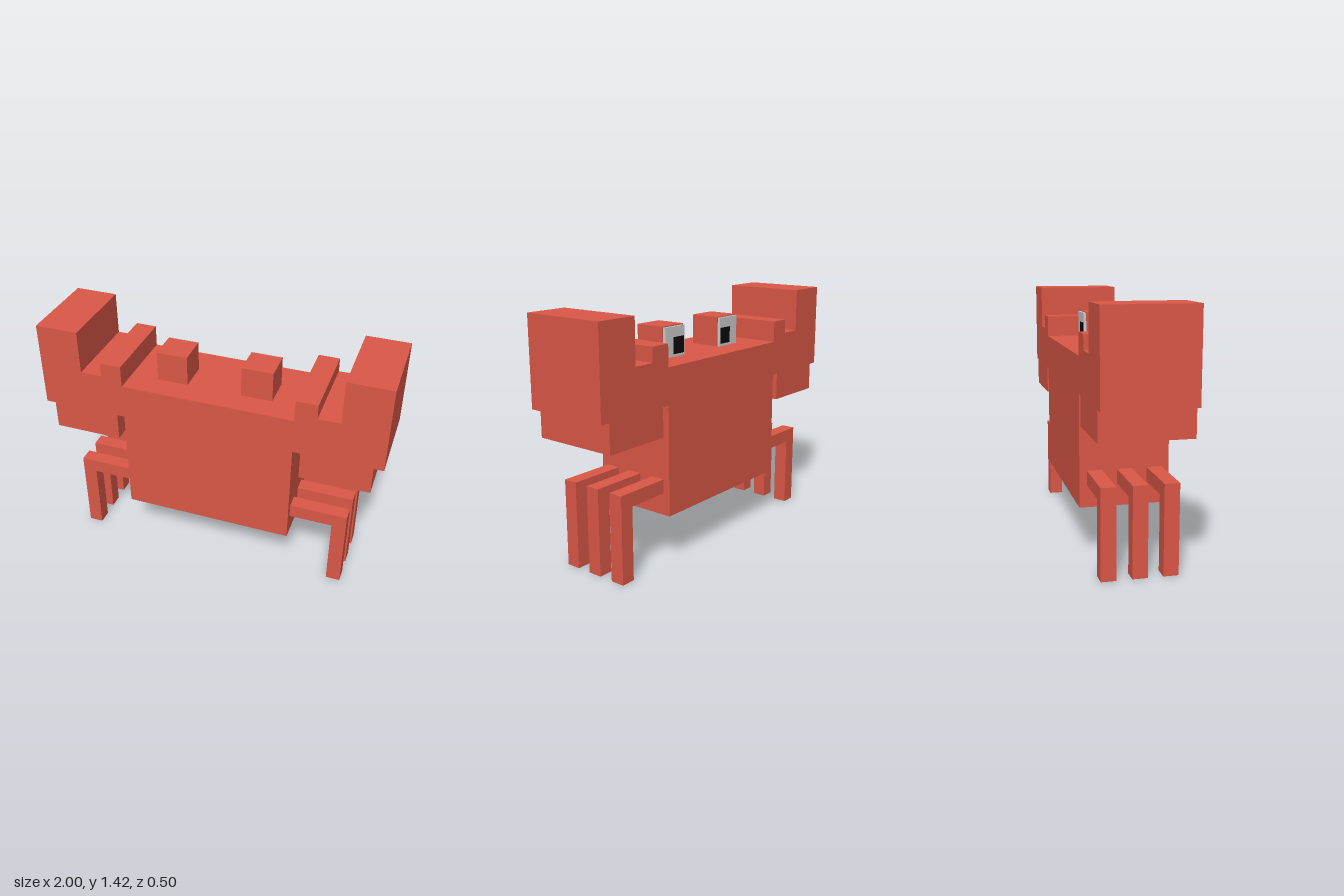
import * as THREE from 'three';

const material = (color) => new THREE.MeshStandardMaterial({ color, flatShading: true });

export function createModel() {
  const model = new THREE.Group();
  model.name = 'blockCrab';
  const red = material(0xdb5847);
  const grey = material(0xcccccc);
  const black = material(0x0a0a0a);

  // Box given by its minimum and maximum corners
  function addBox(name, mat, [x0, y0, z0], [x1, y1, z1]) {
    const mesh = new THREE.Mesh(new THREE.BoxGeometry(x1 - x0, y1 - y0, z1 - z0), mat);
    mesh.position.set((x0 + x1) / 2, (y0 + y1) / 2, (z0 + z1) / 2);
    mesh.name = name;
    model.add(mesh);
  }

  // Side profile extruded along z; s = 1 or -1 mirrors it in x
  function addProfile(name, points, s, zMid, depth) {
    const shape = new THREE.Shape(points.map(([x, y]) => new THREE.Vector2(s * x, y)));
    const geo = new THREE.ExtrudeGeometry(shape, { depth, bevelEnabled: false });
    geo.translate(0, 0, zMid - depth / 2);
    const mesh = new THREE.Mesh(geo, red);
    mesh.name = name;
    model.add(mesh);
  }

  // Body
  addBox('body', red, [-0.5, 0.295, -0.25], [0.5, 1.125, 0.25]);

  const claw = [
    [0.5, 0.92], [0.545, 0.92], [0.545, 0.755], [0.945, 0.755], [0.945, 0.92], [1, 0.92],
    [1, 1.42], [0.75, 1.42], [0.75, 1.167], [0.623, 1.167], [0.623, 1.25], [0.5, 1.25],
  ];
  const leg = [[0.5, 0.42], [0.75, 0.42], [0.75, 0], [0.833, 0], [0.833, 0.5], [0.5, 0.5]];

  for (const s of [1, -1]) {
    const side = s > 0 ? 'left' : 'right';
    // Mirrored box spanning a..b in x
    const sideBox = (name, mat, a, b, y0, y1, z0, z1) => addBox(
      side + name, mat, [Math.min(s * a, s * b), y0, z0], [Math.max(s * a, s * b), y1, z1]);

    // Claw and three bent legs
    addProfile(side + 'Claw', claw, s, 0, 0.5);
    [0.167, 0, -0.167].forEach((z, i) => addProfile(`${side}Leg${i + 1}`, leg, s, z, 0.083));

    // Eye block with its plate and pupil on the rear face
    sideBox('EyeStalk', red, 0.158, 0.338, 1.125, 1.3, -0.07, 0.11);
    sideBox('EyePlate', grey, 0.165, 0.331, 1.125, 1.294, -0.086, -0.07);
    sideBox('Pupil', black, 0.172, 0.262, 1.14, 1.235, -0.088, -0.08);
  }

  return model;
}
